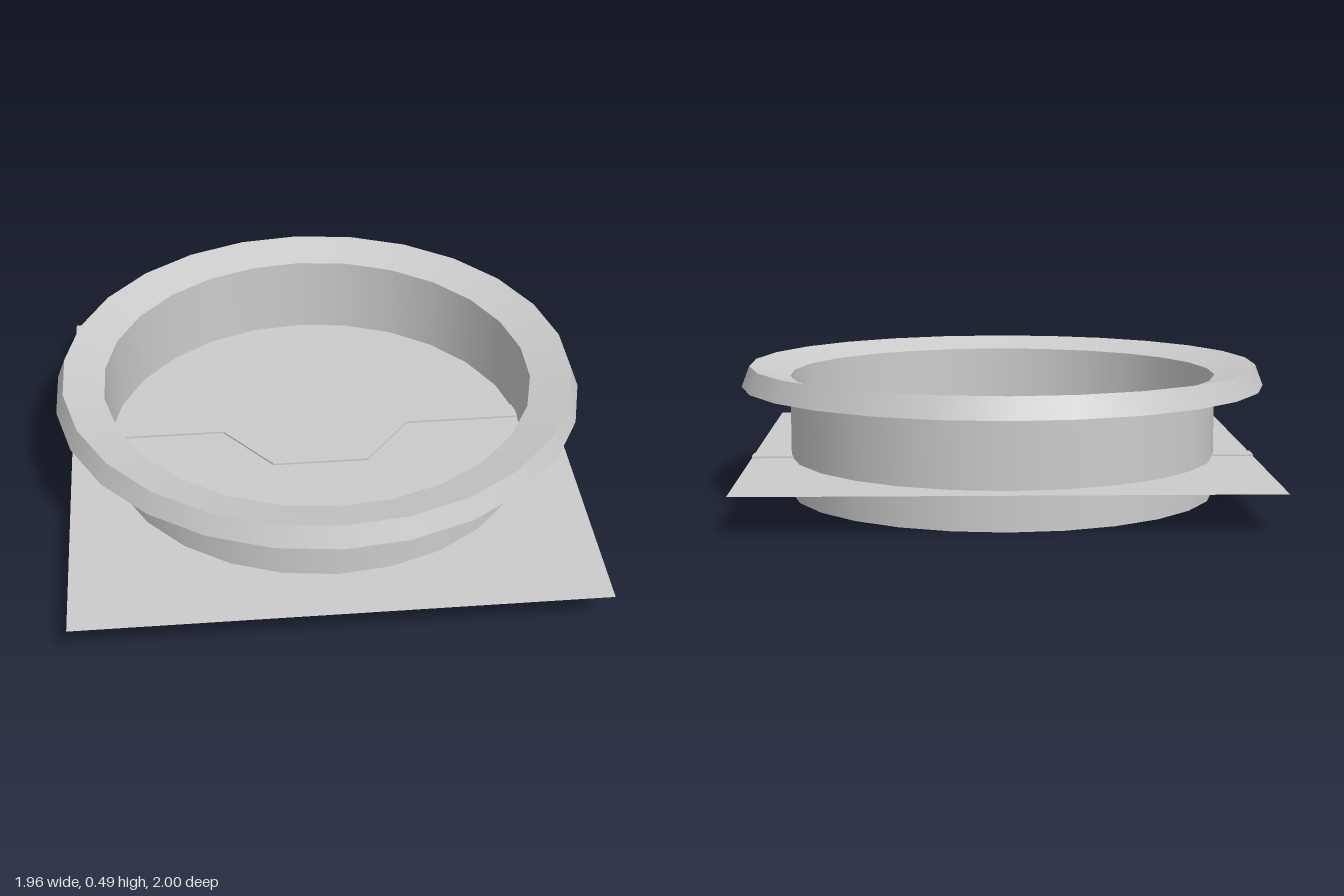
import * as THREE from 'three';

const SIDES = 26;
const CENTRE_Z = -0.013;

export function createModel() {
  const model = new THREE.Group();
  const smooth = new THREE.MeshStandardMaterial({ color: 0xcccccc, side: THREE.DoubleSide });
  const flat = new THREE.MeshStandardMaterial({ color: 0xcccccc, side: THREE.DoubleSide, flatShading: true });

  // Thin conical band; separate bands keep the rim edges sharp
  function band(name, r0, y0, r1, y1) {
    const profile = [new THREE.Vector2(r0, y0), new THREE.Vector2(r1, y1)];
    const mesh = new THREE.Mesh(new THREE.LatheGeometry(profile, SIDES), smooth);
    mesh.name = name;
    mesh.position.z = CENTRE_Z;
    model.add(mesh);
  }
  band('tubeWall', 0.805, 0, 0.805, 0.45);
  band('rimInnerSlope', 0.805, 0.45, 0.957, 0.49);
  band('rimOuterEdge', 0.987, 0.412, 0.957, 0.49);

  // Square plate with a shallow stepped strip that jogs forward in the middle
  const stations = [ // x, back edge and front edge of the strip
    [-0.945, -0.155, -0.075], [-0.36, -0.155, -0.075], [-0.18, 0.065, 0.148],
    [0.18, 0.065, 0.148], [0.36, -0.155, -0.075], [0.945, -0.155, -0.075],
  ];
  const low = 0.144, high = 0.151;
  const positions = [], index = [];
  const columns = 6;
  for (const [x, back, front] of stations) {
    const section = [[-0.9, low], [back, low], [back, high], [front, high], [front, low], [1, low]];
    for (const [z, y] of section) positions.push(x, y, z);
  }
  for (let i = 0; i < stations.length - 1; i++) {
    for (let j = 0; j < columns - 1; j++) {
      const a = i * columns + j, b = a + columns;
      index.push(a, a + 1, b, b, a + 1, b + 1);
    }
  }
  const geometry = new THREE.BufferGeometry();
  geometry.setAttribute('position', new THREE.Float32BufferAttribute(positions, 3));
  geometry.setIndex(index);
  geometry.computeVertexNormals();
  const plate = new THREE.Mesh(geometry, flat);
  plate.name = 'steppedPlate';
  model.add(plate);

  return model;
}
